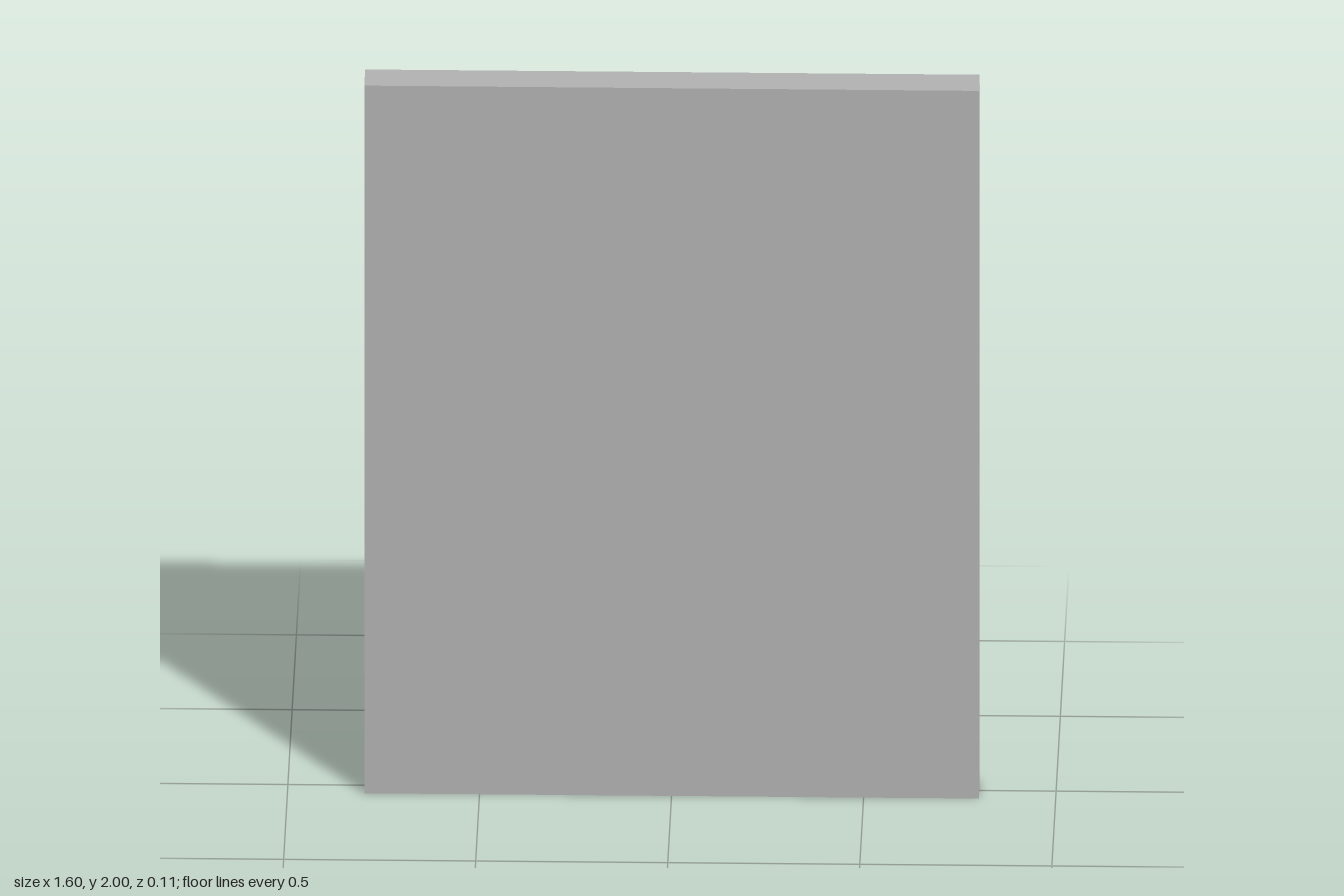
import * as THREE from 'three';

const WIDTH = 1.6, HEIGHT = 2, DEPTH = 0.108;
const BORDER = 0.08, RECESS = 0.052;

// Closed rectangle path, centred on x and y
function rectangle(PathType, w, h) {
  return new PathType([
    new THREE.Vector2(-w / 2, -h / 2),
    new THREE.Vector2(w / 2, -h / 2),
    new THREE.Vector2(w / 2, h / 2),
    new THREE.Vector2(-w / 2, h / 2),
  ]);
}

export function createModel() {
  const model = new THREE.Group();
  model.name = 'framedPanel';

  const grey = new THREE.MeshStandardMaterial({ color: 0xb0b0b0 });
  grey.name = 'grey';

  // Solid sheet that forms the plain front
  const panelDepth = DEPTH - RECESS;
  const panel = new THREE.Mesh(new THREE.BoxGeometry(WIDTH, HEIGHT, panelDepth), grey);
  panel.name = 'frontPanel';
  panel.position.set(0, HEIGHT / 2, DEPTH / 2 - panelDepth / 2);
  model.add(panel);

  // Raised border around the recessed back
  const outline = rectangle(THREE.Shape, WIDTH, HEIGHT);
  outline.holes.push(rectangle(THREE.Path, WIDTH - 2 * BORDER, HEIGHT - 2 * BORDER));
  const frame = new THREE.Mesh(
    new THREE.ExtrudeGeometry(outline, { depth: RECESS, bevelEnabled: false }), grey);
  frame.name = 'backFrame';
  frame.position.set(0, HEIGHT / 2, -DEPTH / 2);
  model.add(frame);

  return model;
}
